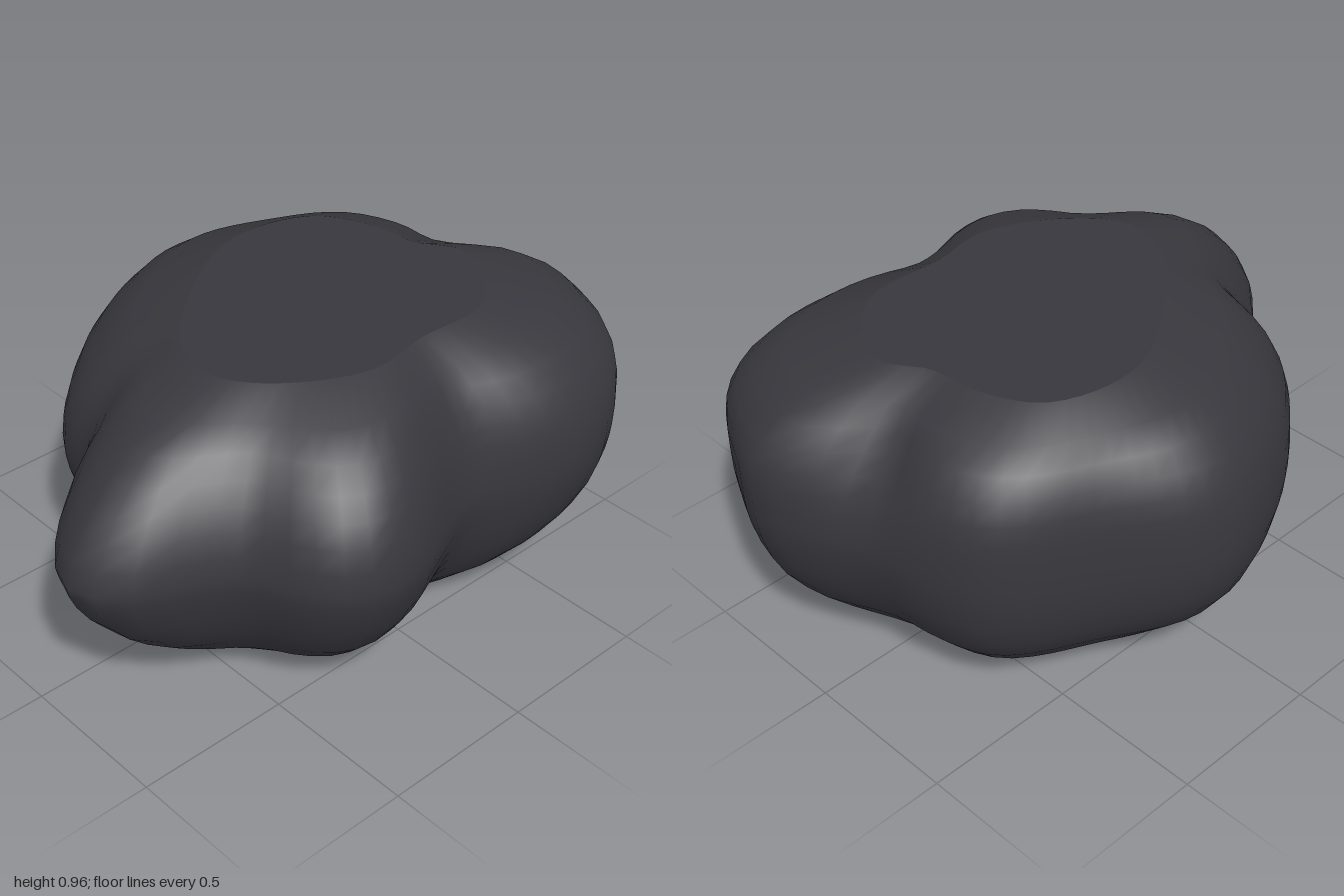
import * as THREE from 'three';

const CX = 0.05; // axis of the boulder
const HEIGHT = 0.96;
const SEG = 72;
const TAU = Math.PI * 2;

// Widest, top and bottom outlines as x, z pairs
const WIDEST = [1, .2, 1, .28, .95, .4, .9, .5, .83, .6, .74, .68, .6, .74, .45, .75, .3, .71, .17, .655,
  .06, .67, -.08, .73, -.2, .78, -.35, .79, -.47, .73, -.55, .62, -.6, .51, -.7, .43, -.84, .37, -.95, .3,
  -1, .18, -.95, .06, -.85, -.05, -.66, -.19, -.58, -.4, -.4, -.58, -.2, -.71, .05, -.79, .2, -.77,
  .45, -.62, .66, -.51, .75, -.43, .83, -.24, .87, -.08, .94, .06];
const TOP = [.62, .13, .5, .33, .38, .4, .15, .4, -.05, .43, -.2, .38, -.37, .25, -.43, .13, -.38, -.05,
  -.2, -.23, .07, -.4, .25, -.42, .43, -.35, .52, -.18, .54, -.02];
const BOTTOM = [.5, .1, .42, .28, .25, .34, .05, .33, -.18, .37, -.32, .27, -.37, .1, -.33, -.1,
  -.2, -.24, .05, -.32, .28, -.29, .44, -.15];

// Every 30 degrees, from +x towards +z: height of the bulge, and fullness of the curve above and below it
const BULGE = [.66, .66, .56, .5, .53, .53, .53, .52, .5, .48, .5, .54];
const FULL_ABOVE = [1.8, 2.5, 2.1, 1.9, 2, 1.6, 1.5, 2, 2.5, 2.9, 3, 2.8];
const FULL_BELOW = [2.5, 3, 2, 1.6, 1.6, 1.6, 1.4, 1.7, 2, 2.2, 2.4, 2.6];

// Turns an outline into radius by angle
function radiusOf(flat) {
  const pts = [];
  for (let i = 0; i < flat.length; i += 2) pts.push(new THREE.Vector3(flat[i] - CX, 0, flat[i + 1]));
  const polar = new THREE.CatmullRomCurve3(pts, true).getPoints(240).slice(0, -1)
    .map(p => ({ a: (Math.atan2(p.z, p.x) + TAU) % TAU, r: Math.hypot(p.x, p.z) }))
    .sort((p, q) => p.a - q.a);
  return angle => {
    let k = polar.findIndex(p => p.a > angle);
    if (k < 0) k = 0;
    const q = polar[k], p = polar[(k + polar.length - 1) % polar.length];
    const span = (q.a - p.a + TAU) % TAU || 1;
    return THREE.MathUtils.lerp(p.r, q.r, ((angle - p.a + TAU) % TAU) / span);
  };
}

// Smooth blend around a circular list
function around(list, angle) {
  const f = angle / TAU * list.length, i = Math.floor(f);
  return THREE.MathUtils.lerp(list[i % list.length], list[(i + 1) % list.length],
    THREE.MathUtils.smoothstep(f - i, 0, 1));
}

// Hollow in the upper shoulder between the two lobes on the +x side
function hollow(angle, y) {
  const da = Math.atan2(Math.sin(angle + .08), Math.cos(angle + .08)) / .16;
  const dy = (y - .78) / .15;
  return .08 * Math.exp(-da * da - dy * dy) * THREE.MathUtils.smoothstep(HEIGHT - y, 0, .1);
}

function makeGeometry(positions, index) {
  const g = new THREE.BufferGeometry();
  g.setAttribute('position', new THREE.Float32BufferAttribute(positions, 3));
  g.setIndex(index);
  g.computeVertexNormals();
  return g;
}

export function createModel() {
  const group = new THREE.Group();
  group.name = 'boulder';
  const stone = new THREE.MeshStandardMaterial({ color: 0x38373d });
  stone.name = 'dark stone';

  const widest = radiusOf(WIDEST), top = radiusOf(TOP), bottom = radiusOf(BOTTOM);
  const levels = [0, .055, .12, .2, .28, .36, .44, .49, .53, .6, .67, .73, .79, .85, .905, HEIGHT];

  // Stacked rings of the lumpy side
  const rings = levels.map(y => {
    const ring = [];
    for (let i = 0; i < SEG; i++) {
      const a = i / SEG * TAU, h = around(BULGE, a), above = y > h;
      const t = above ? (y - h) / (HEIGHT - h) : (h - y) / h;
      const p = around(above ? FULL_ABOVE : FULL_BELOW, a);
      const end = above ? top(a) : bottom(a);
      const r = end + (widest(a) - end) * Math.pow(1 - Math.pow(t, p), .65) - hollow(a, y);
      ring.push(CX + r * Math.cos(a), y, r * Math.sin(a));
    }
    return ring;
  });
  const faces = [];
  for (let j = 0; j < levels.length - 1; j++) {
    for (let i = 0; i < SEG; i++) {
      const n = (i + 1) % SEG;
      const a = j * SEG + i, b = j * SEG + n, c = a + SEG, d = b + SEG;
      faces.push(a, c, b, b, c, d);
    }
  }

  // Flat cap over one ring
  const cap = (ring, up) => {
    const index = [];
    for (let i = 0; i < SEG; i++) {
      const n = (i + 1) % SEG;
      index.push(SEG, up ? n : i, up ? i : n);
    }
    return makeGeometry([...ring, CX, ring[1], 0], index);
  };

  const add = (name, geometry) => {
    const mesh = new THREE.Mesh(geometry, stone);
    mesh.name = name;
    group.add(mesh);
  };
  add('lumpySide', makeGeometry(rings.flat(), faces));
  add('flatTop', cap(rings[rings.length - 1], true));
  add('flatBase', cap(rings[0], false));
  return group;
}
